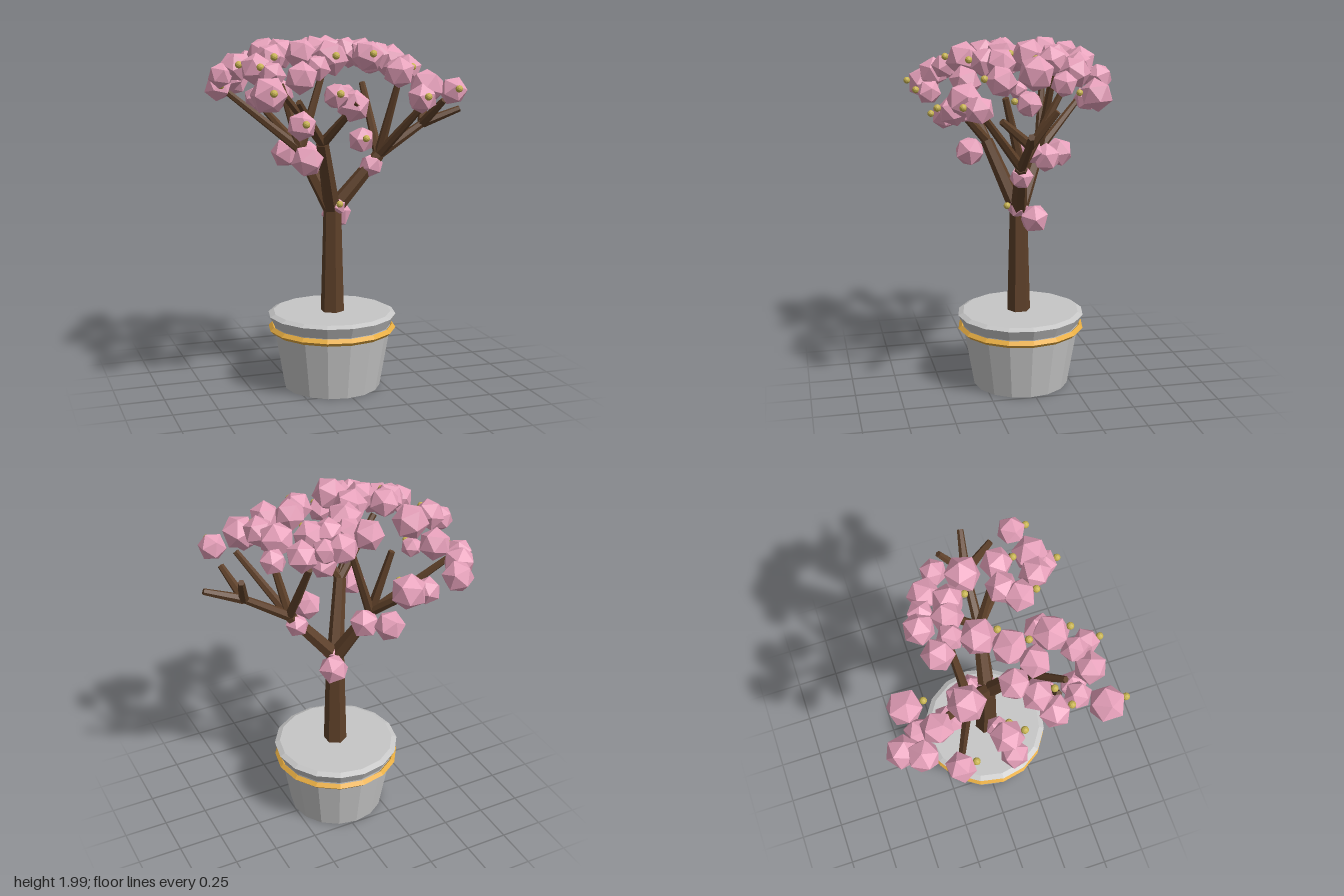
import * as THREE from 'three';

const mat = (name, color) => {
  const m = new THREE.MeshStandardMaterial({ color, flatShading: true });
  m.name = name;
  return m;
};

export function createModel() {
  const model = new THREE.Group();
  model.name = 'pottedBlossomTree';
  const stone = mat('stone', 0xc6c6c6);
  const gold = mat('gold', 0xefb345);
  const bark = mat('bark', 0x5e4029);
  const pink = mat('blossomPink', 0xe8a2bc);
  const brass = mat('beadBrass', 0xc8b452);

  const add = (parent, name, geometry, material, x = 0, y = 0, z = 0) => {
    const mesh = new THREE.Mesh(geometry, material);
    mesh.name = name;
    mesh.position.set(x, y, z);
    parent.add(mesh);
    return mesh;
  };
  const group = (name) => {
    const g = new THREE.Group();
    g.name = name;
    model.add(g);
    return g;
  };

  // pot: tapered body, flared rim and flat top
  const pot = group('pot');
  pot.position.set(-0.03, 0, 0.03);
  const profile = [[0, 0], [0.275, 0], [0.335, 0.35], [0.335, 0.365], [0.365, 0.425], [0.335, 0.44], [0, 0.44]];
  add(pot, 'potBody', new THREE.LatheGeometry(profile.map(([r, y]) => new THREE.Vector2(r, y)), 16), stone);
  const band = add(pot, 'potBand', new THREE.TorusGeometry(0.345, 0.02, 4, 16), gold, 0, 0.345, 0);
  band.rotation.x = Math.PI / 2;

  // branches: tapered six-sided limbs between two points
  const tree = group('branches');
  const limb = (name, from, to, r0, r1) => {
    const a = new THREE.Vector3(...from);
    const b = new THREE.Vector3(...to);
    const dir = b.clone().sub(a);
    const mesh = add(tree, name, new THREE.CylinderGeometry(r1, r0, dir.length(), 6), bark);
    mesh.position.copy(a).add(b).multiplyScalar(0.5);
    mesh.quaternion.setFromUnitVectors(new THREE.Vector3(0, 1, 0), dir.normalize());
  };
  const twigs = (from, tips) => tips.forEach((tip) => limb('twig', from, tip, 0.028, 0.018));
  const fork = [-0.03, 1.02, 0.04];
  const rightFork = [0.23, 1.33, 0.08];
  const farFork = [0.49, 1.5, 0.09];
  const backFork = [-0.17, 1.35, -0.11];
  const frontFork = [-0.14, 1.42, 0.2];
  limb('trunk', [-0.03, 0.42, 0.04], [-0.03, 1.06, 0.04], 0.068, 0.05);
  for (const end of [rightFork, backFork, frontFork]) limb('mainBranch', fork, end, 0.048, 0.035);
  limb('sideBranch', rightFork, farFork, 0.03, 0.022);
  twigs(farFork, [[0.7, 1.58, 0.13], [0.55, 1.68, -0.04], [0.55, 1.64, 0.25]]);
  twigs(rightFork, [[0.21, 1.72, -0.14], [0.3, 1.72, 0.18], [0.43, 1.66, 0.33]]);
  twigs(backFork, [[-0.57, 1.69, -0.28], [-0.34, 1.6, -0.38], [-0.27, 1.72, -0.15], [-0.01, 1.82, -0.16]]);
  twigs(frontFork, [[-0.4, 1.72, 0.29], [-0.32, 1.66, 0.36], [-0.01, 1.65, 0.4]]);

  // one faceted blossom, turned by its order, with an optional bead on its front
  const canopy = group('canopy');
  const ball = new THREE.IcosahedronGeometry(1, 0);
  const beadShape = new THREE.IcosahedronGeometry(0.02, 1);
  const blossom = (x, y, z, r, hasBead) => {
    const turn = canopy.children.length;
    const mesh = add(canopy, 'blossom', ball, pink, x, y, z);
    mesh.scale.setScalar(r);
    mesh.rotation.set(turn * 1.7, turn * 2.9, turn * 0.8);
    if (hasBead) add(canopy, 'bead', beadShape, brass, x, y + 0.015, z + r);
  };

  // crown: blossoms by size at [x, z], raised onto a flat-topped dome; the first few carry beads
  const crown = [
    { r: 0.1, beads: 4, at: [[-0.52, 0.5], [-0.14, 0.33], [-0.15, 0.11], [-0.05, -0.02],
      [-0.36, -0.18], [0.32, 0.02], [0.375, 0.41]] },
    { r: 0.088, beads: 6, at: [[-0.51, 0.22], [-0.42, 0.16], [0.34, 0.21], [0.185, -0.1], [0.1, 0.25], [-0.56, -0.04],
      [-0.44, -0.54], [-0.5, -0.45], [-0.41, -0.35], [-0.34, 0.07], [-0.26, 0.2], [0.17, 0.18], [0.28, -0.2],
      [0.09, -0.28], [-0.08, -0.235], [-0.34, 0.47], [0.23, 0.38], [0.1, -0.13]] },
    { r: 0.074, beads: 0, at: [[-0.64, -0.03], [-0.46, 0.36], [-0.24, 0.42], [0.4, -0.11], [-0.01, -0.15], [0.17, -0.25]] },
  ];
  for (const { r, beads, at } of crown) {
    at.forEach(([x, z], i) => {
      const spread = (x + 0.1) ** 2 + z ** 2;
      blossom(x, 1.9 - 0.55 * Math.max(0, spread - 0.08), z, r, i < beads);
    });
  }

  // blossoms hanging below the crown: x, y, z, radius; the first ten carry beads
  const hanging = [
    [0.55, 1.7, 0.365, 0.08], [-0.17, 1.7, 0.52, 0.072], [0.33, 1.67, 0.46, 0.084], [-0.32, 1.54, 0.41, 0.08],
    [-0.2, 1.65, -0.46, 0.1], [-0.6, 1.7, -0.29, 0.08], [-0.45, 1.66, -0.05, 0.06], [0.06, 1.65, 0, 0.08],
    [-0.01, 1.05, 0.05, 0.06], [0.15, 1.41, 0.02, 0.08], [-0.33, 1.61, -0.43, 0.075], [-0.01, 1.63, 0.33, 0.092],
    [0.02, 0.99, -0.04, 0.088], [-0.25, 1.34, 0.28, 0.09], [-0.12, 1.31, -0.14, 0.088], [-0.22, 1.32, -0.24, 0.088],
    [0.19, 1.27, 0.07, 0.07],
  ];
  hanging.forEach(([x, y, z, r], i) => blossom(x, y, z, r, i < 10));
  return model;
}
